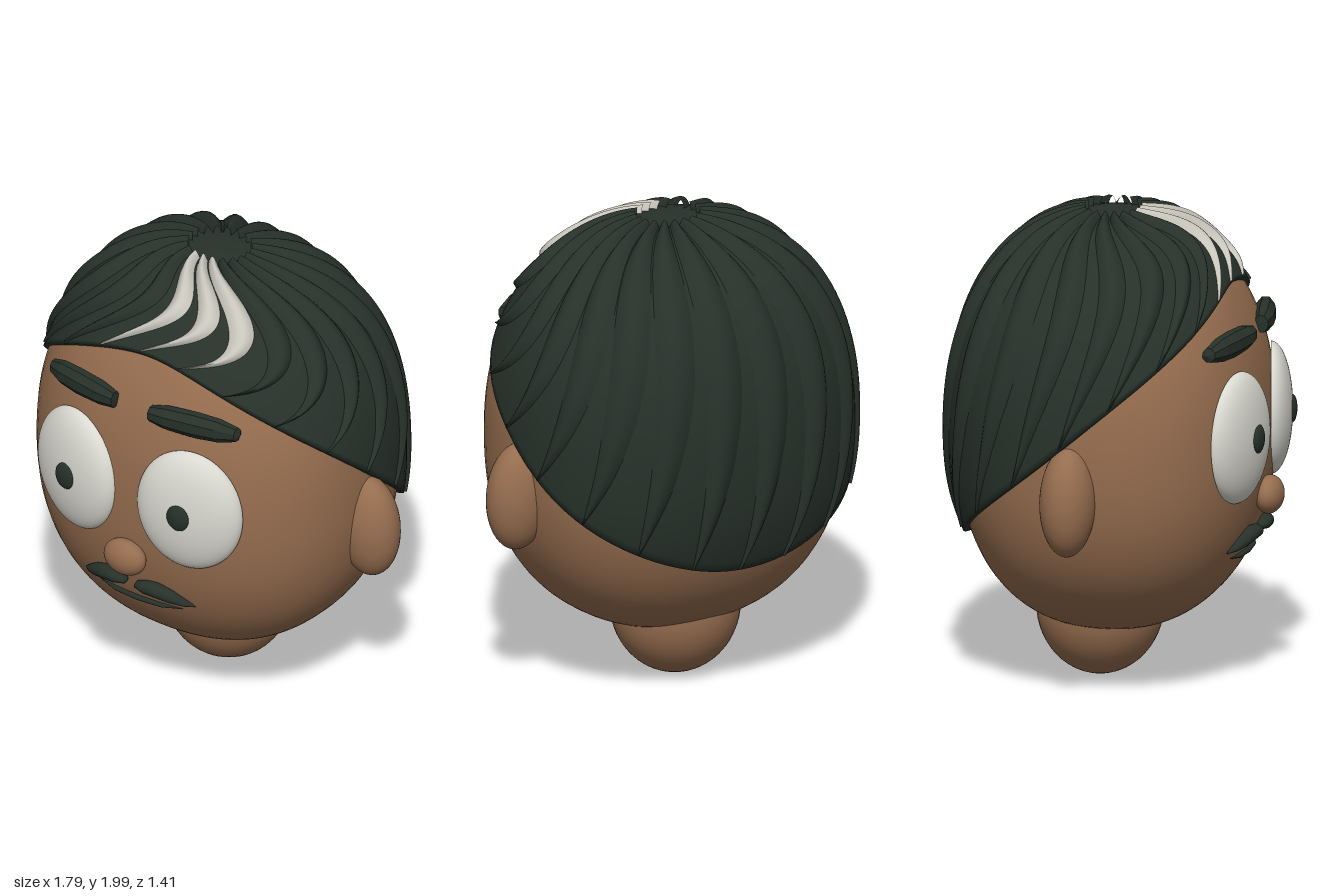
import * as THREE from 'three';
import { mergeVertices, mergeGeometries } from 'three/addons/utils/BufferGeometryUtils.js';

const mat = (name, color) => Object.assign(new THREE.MeshStandardMaterial({ color }), { name });

// Grid surface: f(u, v) -> [x, y, z]; faces point along du x dv
function grid(nu, nv, f) {
  const pos = [], idx = [];
  for (let i = 0; i <= nu; i++) for (let j = 0; j <= nv; j++) pos.push(...f(i / nu, j / nv));
  for (let i = 0; i < nu; i++) for (let j = 0; j < nv; j++) {
    const a = i * (nv + 1) + j, b = a + nv + 1;
    idx.push(a, b, a + 1, b, b + 1, a + 1);
  }
  const g = new THREE.BufferGeometry();
  g.setAttribute('position', new THREE.Float32BufferAttribute(pos, 3));
  g.setIndex(idx);
  const merged = mergeVertices(g, 1e-5);
  merged.computeVertexNormals();
  return merged;
}

// Point on a slightly squared egg, at angle az from the front and t down from the crown
const CY = 1.05, POW = 2.3;
function egg(az, t, rx, up, down, rz, z0) {
  const c = Math.cos(t), sx = Math.sin(az), sz = Math.cos(az);
  const square = Math.pow(Math.abs(sx) ** POW + Math.abs(sz) ** POW, -1 / POW);
  const r = square * Math.pow(Math.max(0, 1 - Math.pow(Math.abs(c), POW)), 1 / POW);
  return [rx * r * sx, CY + c * (c > 0 ? up : down), rz * r * sz + z0];
}
const scalp = (az, t, lift) => egg(az, t, 0.785 + lift, 0.92 + lift, 0.83 + lift, 0.66 + lift, -0.015);

// The hairline slopes from the forehead to the nape
function hairEnd(az) {
  const y = 1.145 + 0.55 * Math.cos(az) - CY;
  return Math.acos(y / (y > 0 ? 0.92 : 0.83));
}

// One S-curved lock, domed across and tapering to its tip
function lock(az0, width) {
  return grid(36, 8, (u, s) => {
    const twist = 0.45 * (0.65 + 0.35 * Math.cos(az0)) * Math.sin(Math.PI * u) - 0.06 * u * u;
    const w = width * (1 - 0.97 * Math.pow(u, 2.4));
    const mid = az0 + twist;
    const az = mid + (s - 0.5) * w;
    const t = 0.12 + (hairEnd(mid) - 0.13) * u;
    const lift = 0.036 * Math.sin(Math.PI * s) * (1 - 0.6 * u * u * u) - 0.004;
    return scalp(az, t, lift);
  });
}

// Loft of ellipses running along +x; each section is [x, y, z, half height, half depth]
function strand(sections, sides, flat) {
  const n = sections.length - 1;
  const g = grid(n, sides, (u, v) => {
    const [x, y, z, h, d] = sections[Math.round(u * n)];
    const a = -(v + 0.5 / sides) * 2 * Math.PI;
    return [x, y + h * Math.cos(a), z + d * Math.sin(a)];
  });
  if (!flat) return g;
  const f = g.toNonIndexed();
  f.computeVertexNormals();
  return f;
}
const mirrored = (sections, side) =>
  side > 0 ? sections : sections.map(([x, ...rest]) => [-x, ...rest]).reverse();

export function createModel() {
  const skin = mat('skin', 0x966d4f);
  const hair = mat('darkHair', 0x27312a);
  const streak = mat('paleStreak', 0xc8c6bc);
  const white = mat('eyeWhite', 0xdad9d1);

  const model = new THREE.Group();
  model.name = 'characterHead';
  const add = (name, geo, material) => {
    const m = new THREE.Mesh(geo, material);
    m.name = name;
    model.add(m);
    return m;
  };
  // Ellipsoid, or only its front half when sweep is PI
  const ball = (name, material, p, r, sweep = 2 * Math.PI) => {
    const m = add(name, new THREE.SphereGeometry(1, 40, 28, 0, sweep), material);
    m.position.set(...p);
    m.scale.set(...r);
    return m;
  };

  // Head, neck, nose and mouth
  add('head', grid(56, 72, (u, v) =>
    egg(v * 2 * Math.PI, u * Math.PI, 0.76, 0.87, 0.83, 0.64, 0)), skin);
  ball('neck', skin, [0, 0.3, -0.07], [0.275, 0.295, 0.265]);
  ball('nose', skin, [0, 0.8, 0.65], [0.1, 0.08, 0.06]);
  add('mouth', strand([
    [-0.22, 0.567, 0.53, 0.001, 0.001], [-0.12, 0.56, 0.55, 0.01, 0.013],
    [0, 0.557, 0.555, 0.012, 0.014],
    [0.12, 0.56, 0.55, 0.01, 0.013], [0.22, 0.567, 0.53, 0.001, 0.001]], 10), hair);

  const brow = [
    [0.09, 1.497, 0.593, 0.001, 0.001], [0.092, 1.497, 0.593, 0.038, 0.03],
    [0.17, 1.499, 0.583, 0.052, 0.046], [0.3, 1.497, 0.56, 0.058, 0.046],
    [0.4, 1.493, 0.535, 0.052, 0.042], [0.47, 1.485, 0.508, 0.032, 0.028],
    [0.482, 1.482, 0.502, 0.001, 0.001]];
  const moustache = [
    [0.02, 0.657, 0.605, 0.001, 0.001], [0.03, 0.658, 0.607, 0.016, 0.022],
    [0.075, 0.662, 0.61, 0.028, 0.034], [0.13, 0.661, 0.602, 0.033, 0.036],
    [0.19, 0.643, 0.585, 0.029, 0.03], [0.24, 0.621, 0.562, 0.017, 0.022],
    [0.28, 0.602, 0.538, 0.001, 0.001]];

  // Paired features
  for (const [side, s] of [['left', 1], ['right', -1]]) {
    const ear = ball(side + 'Ear', skin, [0.757 * s, 0.897, -0.022], [0.14, 0.229, 0.115]);
    ear.rotation.z = 0.06 * s;
    const eye = ball(side + 'Eye', white, [0.287 * s, 1.1, 0.585], [0.235, 0.277, 0.092], Math.PI);
    eye.rotation.y = 0.24 * s;
    ball(side + 'Pupil', hair, [0.287 * s, 1.1, 0.675], [0.052, 0.06, 0.021]).rotation.y = 0.1 * s;
    add(side + 'Eyebrow', strand(mirrored(brow, s), 8, true), hair);
    add(side + 'Moustache', strand(mirrored(moustache, s), 14), hair);
  }

  // Hair cap, with its last row tucked in to close the rim
  const rows = 40;
  add('hairCap', grid(rows, 96, (u, v) => {
    const az = v * 2 * Math.PI;
    const rim = u > 1 - 0.5 / rows;
    return scalp(az, hairEnd(az) * (rim ? 1 : u * rows / (rows - 1)), rim ? -0.07 : 0);
  }), hair);

  // Swirling locks, three pale ones above the forehead
  const count = 20, step = 2 * Math.PI / count;
  const dark = [], pale = [];
  for (let i = 0; i < count; i++) {
    const isPale = i <= 1 || i === count - 1;
    (isPale ? pale : dark).push(lock(i * step, step * 0.95));
  }
  add('darkLocks', mergeGeometries(dark), hair);
  add('paleLocks', mergeGeometries(pale), streak);
  return model;
}
